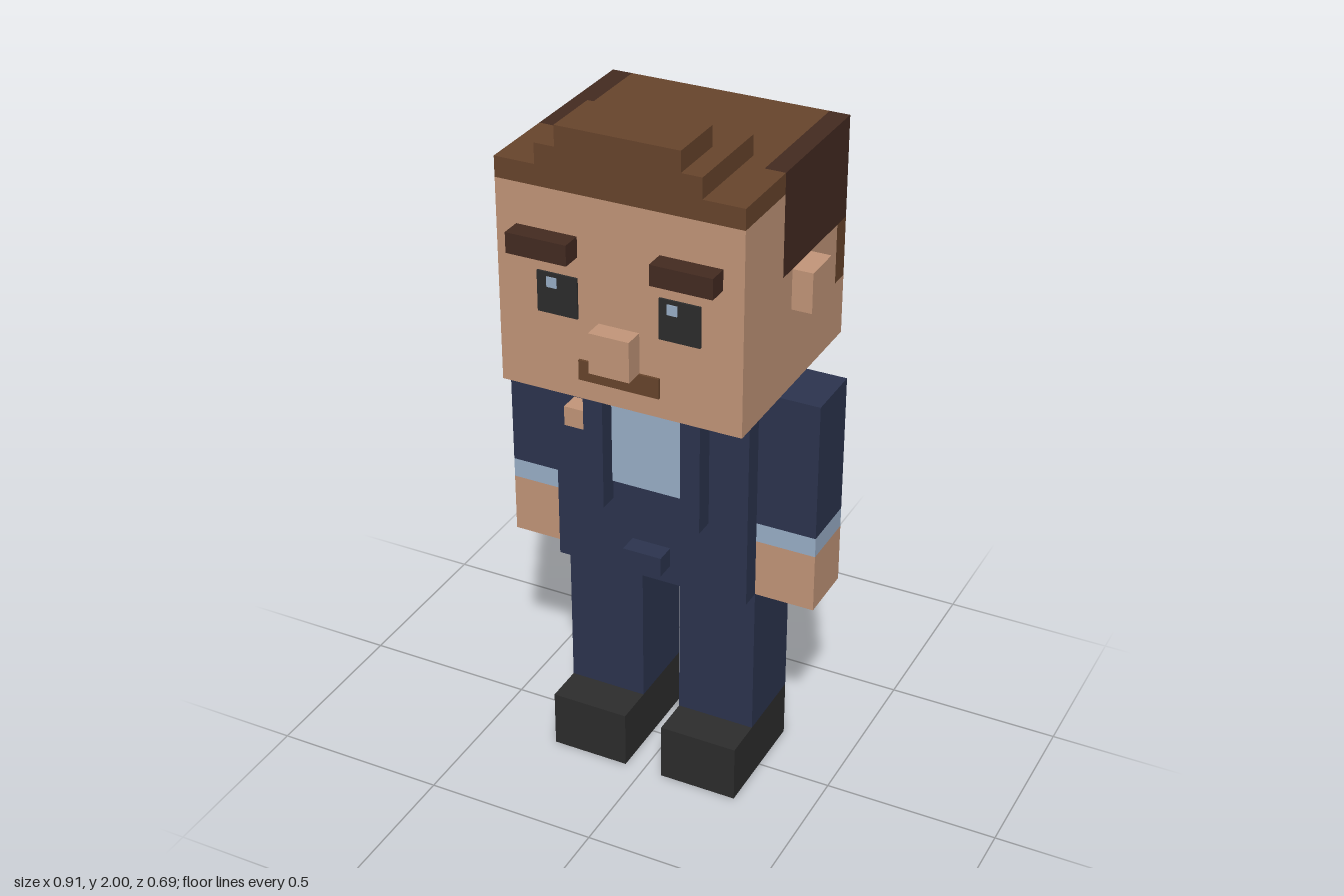
import * as THREE from 'three';

const U = 2 / 35; // one block of the figure's grid

const mat = (name, color) => {
  const m = new THREE.MeshStandardMaterial({ color });
  m.name = name;
  return m;
};

export function createModel() {
  const skin = mat('skin', 0xc4977a);
  const hair = mat('hair brown', 0x68452c);
  const dark = mat('dark brown', 0x442b21);
  const navy = mat('navy suit', 0x2c344f);
  const shirt = mat('light blue', 0x9bb0c9);
  const black = mat('black', 0x2d2d2d);

  const model = new THREE.Group();
  model.name = 'figure';

  const group = (name) => {
    const g = new THREE.Group();
    g.name = name;
    model.add(g);
    return g;
  };

  // Box between grid limits, [min, max] on each axis
  const box = (parent, name, material, [x0, x1], [y0, y1], [z0, z1]) => {
    const geo = new THREE.BoxGeometry((x1 - x0) * U, (y1 - y0) * U, (z1 - z0) * U);
    const mesh = new THREE.Mesh(geo, material);
    mesh.position.set((x0 + x1) / 2 * U, (y0 + y1) / 2 * U, (z0 + z1) / 2 * U);
    mesh.name = name;
    parent.add(mesh);
  };

  // The same box on both sides of the body
  const pair = (parent, name, material, [x0, x1], y, z) => {
    box(parent, name + 'Left', material, [x0, x1], y, z);
    box(parent, name + 'Right', material, [-x1, -x0], y, z);
  };

  // Head, stacked so that skin and hair meet without overlapping
  const head = group('head');
  box(head, 'jaw', skin, [-6, 6], [22, 25], [-6, 5]);
  box(head, 'cheeks', skin, [-6, 6], [25, 28], [-5, 5]);
  box(head, 'forehead', skin, [-6, 6], [28, 32], [1, 5]);
  pair(head, 'ear', skin, [6, 7], [26, 28], [-2, 0]);
  box(head, 'nose', skin, [-1, 1], [24, 26], [5, 6]);

  // Hair
  const hairGroup = group('hair');
  box(hairGroup, 'napeHair', hair, [-6, 6], [25, 28], [-6, -5]);
  box(hairGroup, 'crownHair', hair, [-5, 5], [28, 33], [-6, 1]);
  box(hairGroup, 'fringe', hair, [-6, 6], [32, 33], [1, 5]);
  box(hairGroup, 'lowerQuiff', hair, [-4, 4], [33, 34], [0, 5]);
  box(hairGroup, 'upperQuiff', hair, [-3, 3], [34, 35], [2, 5]);
  pair(hairGroup, 'sideHair', dark, [5, 6], [28, 33], [-6, 1]);

  // Face details
  const face = group('face');
  pair(face, 'eyebrow', dark, [2, 5], [29, 30], [5, 6]);
  pair(face, 'eye', black, [2, 4], [26, 28], [5, 5.1]);
  box(face, 'eyeGlintLeft', shirt, [2.4, 2.9], [27.3, 27.8], [5.1, 5.15]);
  box(face, 'eyeGlintRight', shirt, [-3.5, -3], [27.3, 27.8], [5.1, 5.15]);
  box(face, 'moustache', hair, [-2, 2], [23, 24], [5, 5.12]);

  // Jacket and shirt
  const torso = group('torso');
  box(torso, 'jacket', navy, [-5, 5], [11, 22], [-4, 2]);
  box(torso, 'shirtFront', shirt, [-2, 2], [16, 22], [2, 2.1]);
  pair(torso, 'lapel', navy, [2, 3], [15, 22], [2, 3]);
  box(torso, 'jacketButton', navy, [-1, 1], [12, 13], [2, 3]);
  box(torso, 'pin', skin, [-4, -3], [19, 20], [2, 3]);

  // Arms
  const arms = group('arms');
  pair(arms, 'sleeve', navy, [5, 8], [15, 22], [-2, 1]);
  pair(arms, 'cuff', shirt, [5, 8], [14, 15], [-2, 1]);
  pair(arms, 'hand', skin, [5, 8], [11, 14], [-2, 1]);

  // Legs
  const legs = group('legs');
  pair(legs, 'trouserLeg', navy, [1, 5], [3, 11], [-3, 1]);
  pair(legs, 'shoe', black, [1, 5], [0, 3], [-3, 3]);

  return model;
}
